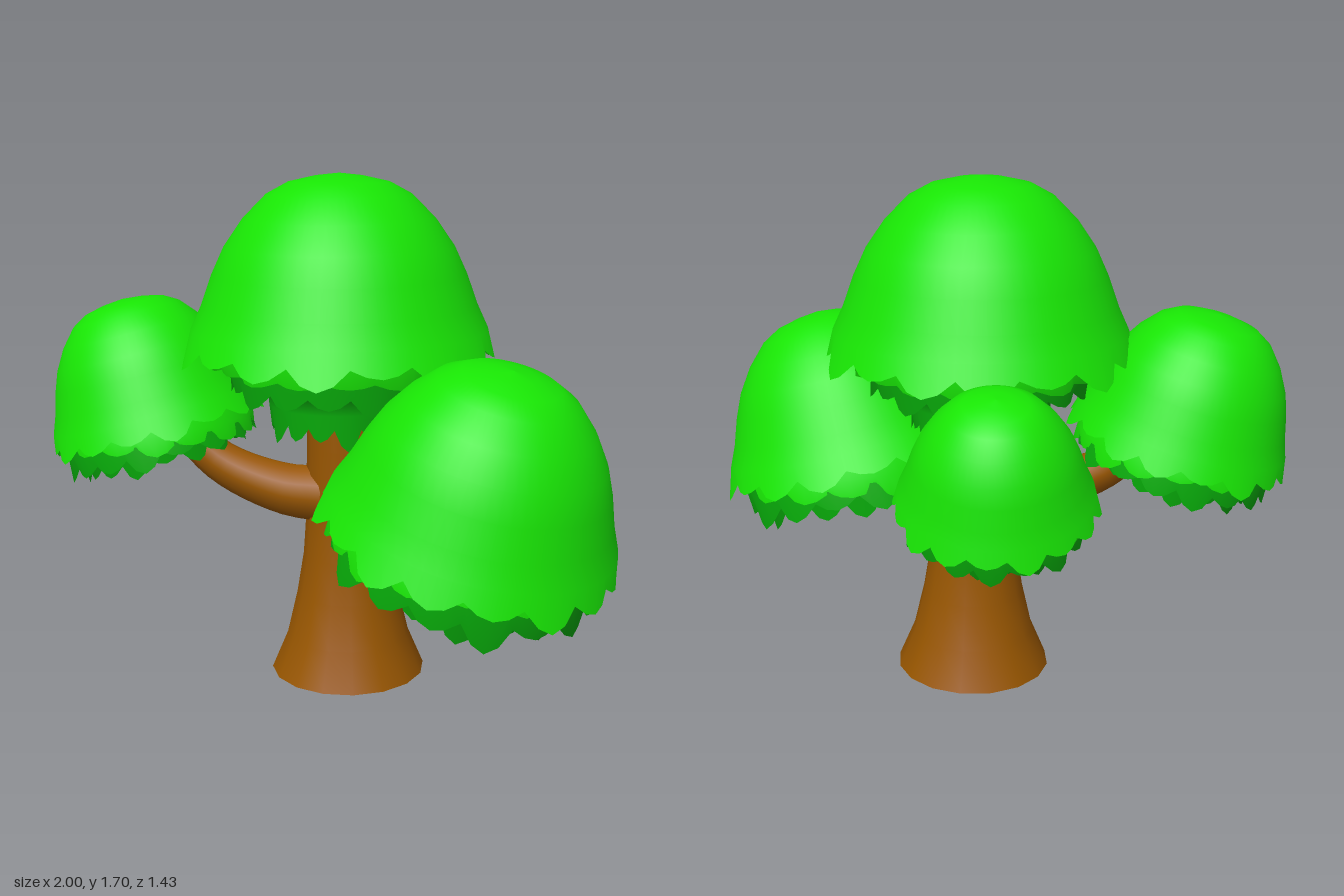
import * as THREE from 'three';

const leafGreen = new THREE.MeshStandardMaterial({ color: 0x18e604, side: THREE.DoubleSide });
leafGreen.name = 'leaf green';
const shadeGreen = new THREE.MeshStandardMaterial({ color: 0x08ae0a, side: THREE.DoubleSide });
shadeGreen.name = 'shade green';
const bark = new THREE.MeshStandardMaterial({ color: 0x985600, side: THREE.DoubleSide });
bark.name = 'bark brown';

const TEETH = 16, STEPS = 4;

// Turned leaf layer, listed bottom to top, with a ragged row of leaf tips at the bottom
function leafLayer(name, profile, tip, material, phase) {
  const pts = profile.map(([r, y]) => new THREE.Vector2(r, y));
  const geo = new THREE.LatheGeometry(pts, TEETH * STEPS, phase);
  const pos = geo.attributes.position;
  for (let i = 0; i <= TEETH * STEPS; i++) {
    const k = i % (TEETH * STEPS);
    const tooth = Math.floor(k / STEPS);
    const bulge = Math.sin((k % STEPS) / STEPS * Math.PI);
    const size = 0.85 + 0.35 * Math.sin(tooth * 2.4 + phase);
    const v = i * pts.length;
    const flare = 0.955 + 0.06 * bulge * size;
    pos.setXYZ(v, pos.getX(v) * flare, pos.getY(v) - tip * size * bulge, pos.getZ(v) * flare);
  }
  const mesh = new THREE.Mesh(geo, material);
  mesh.name = name;
  return mesh;
}

// Leaf crown: its origin is the centre of the hem, axis is the way it leans, a lower power gives a fuller dome
function crown(name, { at, axis, radius, height, deep = false, power = 1, turn }) {
  const g = new THREE.Group();
  g.name = name;
  g.scale.setScalar(radius);
  g.position.set(...at);
  g.quaternion.setFromUnitVectors(new THREE.Vector3(0, 1, 0), new THREE.Vector3(...axis).normalize());
  const h = height / radius;
  const dome = [
    [1.0, 0], [0.95, 0.1], [0.88, 0.24], [0.81, 0.42], [0.73, 0.58],
    [0.61, 0.74], [0.46, 0.88], [0.32, 0.95], [0.15, 0.985], [0, 1],
  ].map(([r, y]) => [r ** power, y * h]);
  g.add(leafLayer('leafDome', dome, 0.11, leafGreen, turn));
  // bright layer tucked under the hem, then shaded skirts around the wood
  if (deep) {
    g.add(
      leafLayer('innerLeaves', [[0.8, -0.13], [0.82, 0], [0.8, 0.12], [0.7, 0.4]], 0.03, leafGreen, turn + 1),
      leafLayer('upperSkirt', [[0.7, -0.24], [0.71, -0.17], [0.72, -0.08]], 0.09, shadeGreen, turn + 2),
      leafLayer('lowerSkirt', [[0.45, -0.48], [0.46, -0.38], [0.47, -0.26], [0.68, -0.12]], 0.11, shadeGreen, turn + 3),
    );
  } else {
    // the bright layer leans less than the dome, so it shows on the trunk side
    const inner = leafLayer('innerLeaves', [[0.92, -0.09], [0.91, 0], [0.86, 0.15], [0.75, 0.42]], 0.07, leafGreen, turn + 1);
    inner.quaternion.copy(g.quaternion).invert().slerp(new THREE.Quaternion(), 0.45);
    g.add(
      inner,
      leafLayer('upperSkirt', [[0.88, -0.21], [0.88, -0.08], [0.86, 0.08]], 0.12, shadeGreen, turn + 2),
      leafLayer('lowerSkirt', [[0.74, -0.27], [0.76, -0.15], [0.78, 0]], 0.12, shadeGreen, turn + 3),
    );
  }
  return g;
}

// Bent branch, narrowing from r0 to r1
function branch(name, points, r0, r1) {
  const curve = new THREE.CatmullRomCurve3(points.map(p => new THREE.Vector3(...p)));
  const n = 14, sides = 12;
  const geo = new THREE.TubeGeometry(curve, n, 1, sides, false);
  const pos = geo.attributes.position, v = new THREE.Vector3();
  for (let i = 0; i <= n; i++) {
    const c = curve.getPointAt(i / n);
    const r = r0 + (r1 - r0) * (i / n);
    for (let j = 0; j <= sides; j++) {
      const k = i * (sides + 1) + j;
      v.fromBufferAttribute(pos, k).sub(c).multiplyScalar(r).add(c);
      pos.setXYZ(k, v.x, v.y, v.z);
    }
  }
  const mesh = new THREE.Mesh(geo, bark);
  mesh.name = name;
  return mesh;
}

export function createModel() {
  const tree = new THREE.Group();
  tree.name = 'tree';

  // Flared trunk, open at the bottom
  const trunkProfile = [
    [0.265, 0], [0.21, 0.13], [0.175, 0.28], [0.152, 0.42], [0.142, 0.56], [0.138, 0.8], [0.138, 1.1],
  ].map(([r, y]) => new THREE.Vector2(r, y));
  const trunk = new THREE.Mesh(new THREE.LatheGeometry(trunkProfile, 16), bark);
  trunk.name = 'trunk';
  trunk.position.set(-0.045, 0, 0.03);
  tree.add(trunk);

  // Branches
  tree.add(
    branch('rightBranch', [[-0.09, 0.63, 0.09], [-0.22, 0.64, 0.16], [-0.42, 0.72, 0.26], [-0.58, 0.87, 0.33]], 0.1, 0.055),
    branch('leftBranch', [[0.0, 0.58, 0.04], [0.16, 0.59, 0.07], [0.36, 0.64, 0.11], [0.52, 0.78, 0.13]], 0.09, 0.055),
    branch('backBranch', [[-0.08, 0.55, -0.02], [-0.18, 0.58, -0.19], [-0.3, 0.68, -0.34], [-0.38, 0.85, -0.42]], 0.08, 0.045),
  );

  // Crowns
  tree.add(
    crown('topCrown', { at: [-0.05, 1.15, 0.062], axis: [0, 1, 0], radius: 0.515, height: 0.555, deep: true, turn: 0 }),
    crown('leftCrown', { at: [0.545, 0.65, 0.135], axis: [0.28, 0.96, 0], radius: 0.475, height: 0.53, turn: 1 }),
    crown('rightCrown', { at: [-0.65, 0.85, 0.35], axis: [-0.24, 0.95, 0.1], radius: 0.37, height: 0.435, power: 0.88, turn: 2 }),
    crown('backCrown', { at: [-0.395, 0.82, -0.415], axis: [-0.14, 0.95, -0.25], radius: 0.31, height: 0.35, turn: 3 }),
  );
  return tree;
}
